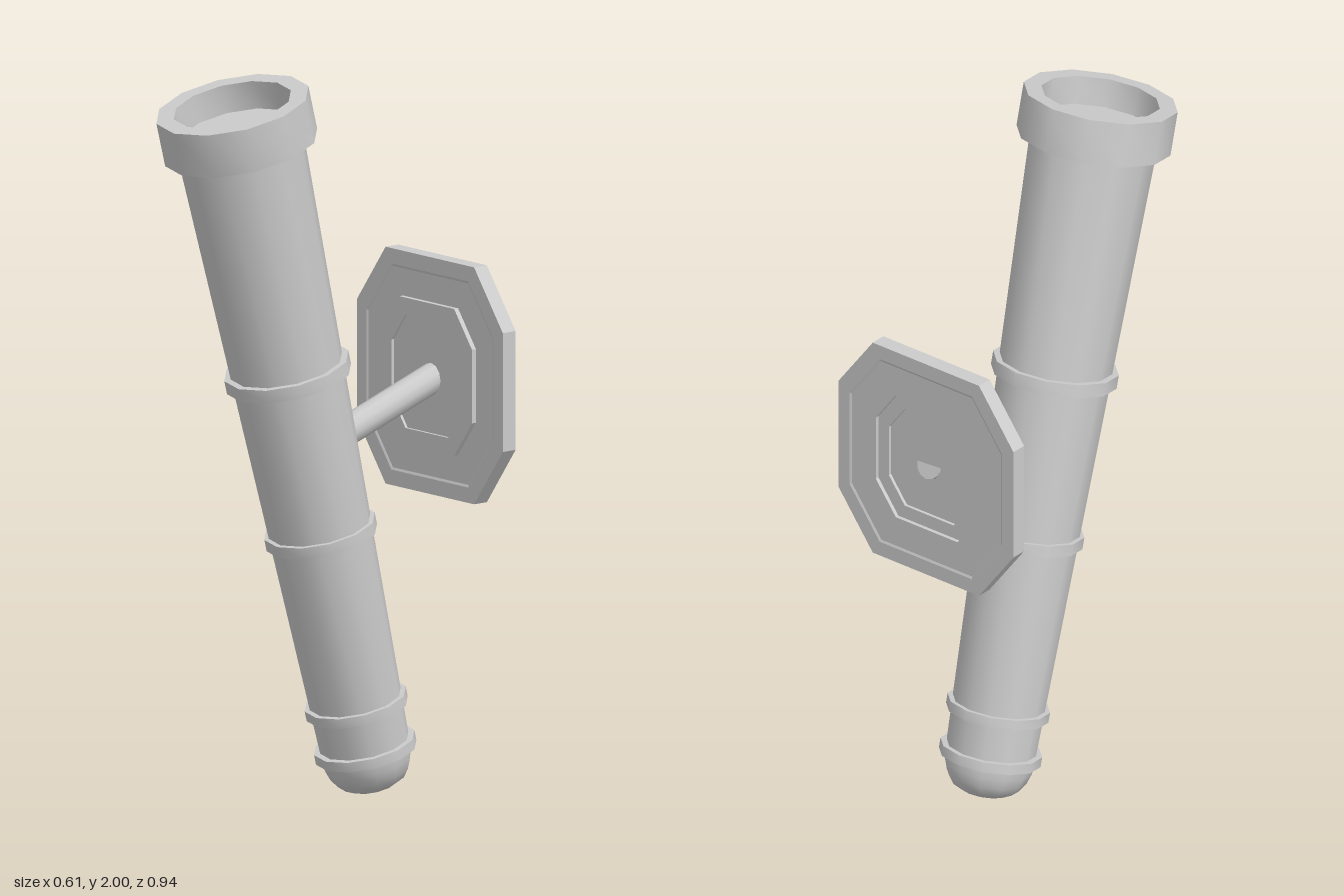
import * as THREE from 'three';
import { toCreasedNormals } from 'three/addons/utils/BufferGeometryUtils.js';

const grey = new THREE.MeshStandardMaterial({ color: 0xcccccc });
const greyFlat = new THREE.MeshStandardMaterial({ color: 0xcccccc, flatShading: true });

function addMesh(parent, name, geometry, material = grey) {
  const mesh = new THREE.Mesh(geometry, material);
  mesh.name = name;
  parent.add(mesh);
  return mesh;
}

// Twelve-sided turned part, smooth around but with sharp profile corners
function turned(profile) {
  const points = profile.map(([r, y]) => new THREE.Vector2(r, y));
  return toCreasedNormals(new THREE.LatheGeometry(points, 12), 0.6);
}

// Stretched octagon plate: each profile entry is [scale, z], from back to front
function octagonPlate(profile) {
  const corners = [
    [0.185, -0.325], [0.305, -0.163], [0.305, 0.163], [0.185, 0.325],
    [-0.185, 0.325], [-0.305, 0.163], [-0.305, -0.163], [-0.185, -0.325],
  ];
  const geometry = new THREE.LatheGeometry(profile.map(([s, z]) => new THREE.Vector2(s, z)), 8);
  const position = geometry.attributes.position;
  for (let i = 0; i < position.count; i++) {
    const [x, y] = corners[Math.floor(i / profile.length) % 8];
    const [scale, z] = profile[i % profile.length];
    position.setXYZ(i, x * scale, y * scale, z);
  }
  geometry.computeVertexNormals();
  return geometry;
}

export function createModel() {
  const model = new THREE.Group();
  model.name = 'tiltedTubeOnPlate';

  // Tilted tube assembly, built upright along y
  const tube = new THREE.Group();
  tube.name = 'tube';
  tube.position.set(-0.005, 0.018, -0.229);
  tube.rotation.x = 0.2506;
  model.add(tube);

  addMesh(tube, 'taperedBody', turned([[0, 0.09], [0.122, 0.09], [0.174, 1.88], [0, 1.88]]));
  addMesh(tube, 'roundedEnd', turned([
    [0, 0], [0.067, 0], [0.093, 0.015], [0.11, 0.04], [0.12, 0.07], [0.123, 0.1], [0, 0.1],
  ]));

  // Raised bands: radius, lower and upper height
  for (const [r, low, high] of [
    [0.14, 0.094, 0.122], [0.141, 0.222, 0.25], [0.154, 0.723, 0.756], [0.173, 1.188, 1.226],
  ]) {
    addMesh(tube, 'band', turned([[0, low], [r, low], [r, high], [0, high]]));
  }

  // Wide collar with a shallow well in its mouth
  addMesh(tube, 'collar', turned([
    [0, 1.866], [0.212, 1.866], [0.212, 1.99], [0.163, 1.99], [0.163, 1.91], [0, 1.91],
  ]));

  // Mounting plate, stepped on both faces
  const plate = addMesh(model, 'mountingPlate', octagonPlate([
    [0, -0.447], [0.46, -0.447], [0.46, -0.456], [0.58, -0.456], [0.58, -0.467],
    [0.85, -0.467], [0.87, -0.47], [1, -0.47], [1, -0.425], [0.87, -0.425],
    [0.85, -0.428], [0.62, -0.428], [0.62, -0.414], [0.48, -0.414], [0.48, -0.422], [0, -0.422],
  ]), greyFlat);
  plate.position.y = 1.115;

  // Slanted rod joining tube and plate
  const start = new THREE.Vector3(-0.002, 0.97, -0.05);
  const end = new THREE.Vector3(0.008, 1.117, -0.447);
  const along = end.clone().sub(start);
  const rod = addMesh(model, 'supportRod', new THREE.CylinderGeometry(0.041, 0.041, along.length(), 12));
  rod.position.copy(start).add(end).multiplyScalar(0.5);
  rod.quaternion.setFromUnitVectors(new THREE.Vector3(0, 1, 0), along.normalize());

  return model;
}
